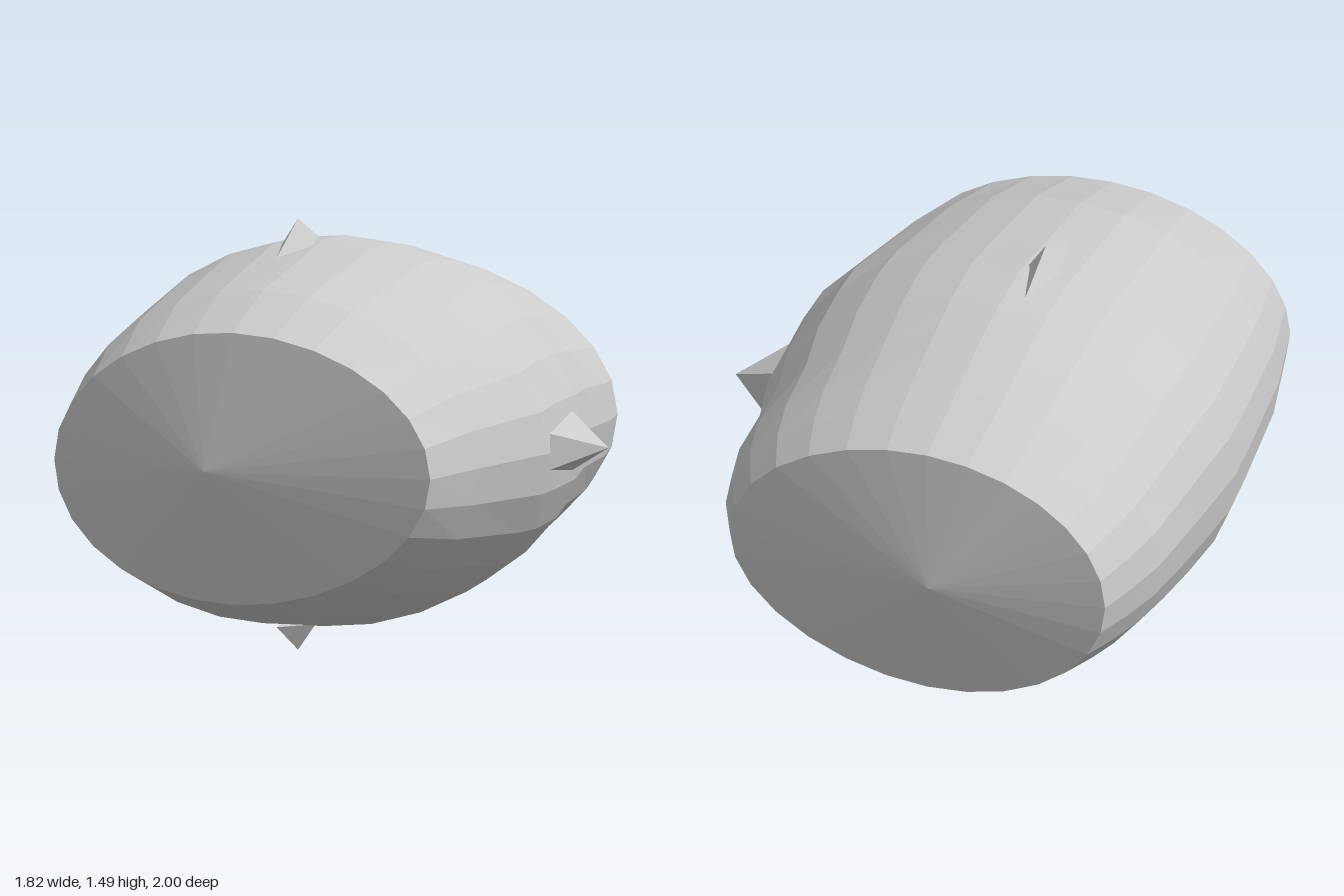
import * as THREE from 'three';

const SIDES = 28;
const MID_Y = 0.745;

// Barrel cross-sections: z, left edge x, right edge x, half height
const RINGS = [
  [0.9, -0.78, 0.59, 0.47],
  [0.6, -0.85, 0.655, 0.575],
  [0.2, -0.895, 0.76, 0.637],
  [0.02, -0.91, 0.745, 0.667],
  [-0.2, -0.895, 0.735, 0.653],
  [-0.4, -0.88, 0.69, 0.613],
  [-0.6, -0.86, 0.69, 0.56],
  [-0.75, -0.825, 0.66, 0.52],
  [-0.9, -0.78, 0.59, 0.475],
];

// One ring: an oval centred on x = -0.13 that bulges out a little on the +x side
function ringPoints([z, left, right, halfHeight]) {
  const cx = -0.13;
  const rl = cx - left;
  const bulge = right - cx - rl;
  const points = [];
  for (let j = 0; j < SIDES; j++) {
    const a = (j / SIDES) * Math.PI * 2;
    const u = Math.cos(a);
    const x = cx + rl * u + (u > 0 ? bulge * u * u : 0);
    points.push([x, MID_Y + halfHeight * Math.sin(a), z]);
  }
  return points;
}

function makeMesh(name, points, index, material) {
  const geometry = new THREE.BufferGeometry();
  geometry.setAttribute('position', new THREE.Float32BufferAttribute(points.flat(), 3));
  geometry.setIndex(index);
  geometry.computeVertexNormals();
  const mesh = new THREE.Mesh(geometry, material);
  mesh.name = name;
  return mesh;
}

// Fan of triangles from an apex to a closed loop of points
function makeFan(name, apex, loop, material, reverse = false) {
  const index = [];
  for (let j = 0; j < loop.length; j++) {
    const a = j + 1;
    const b = ((j + 1) % loop.length) + 1;
    index.push(0, reverse ? b : a, reverse ? a : b);
  }
  return makeMesh(name, [apex, ...loop], index, material);
}

export function createModel() {
  const group = new THREE.Group();
  group.name = 'spikedBarrel';
  const material = new THREE.MeshStandardMaterial({ color: 0xcccccc, flatShading: true });
  const spikeMaterial = material.clone();
  spikeMaterial.side = THREE.DoubleSide;

  // Barrel wall
  const rings = RINGS.map(ringPoints);
  const index = [];
  for (let i = 0; i < rings.length - 1; i++) {
    for (let j = 0; j < SIDES; j++) {
      const k = (j + 1) % SIDES;
      const a = i * SIDES + j;
      const b = i * SIDES + k;
      const c = a + SIDES;
      const d = b + SIDES;
      index.push(a, c, b, b, c, d);
    }
  }
  group.add(makeMesh('barrelWall', rings.flat(), index, material));

  // Shallow pointed ends
  group.add(makeFan('frontCap', [-0.2, MID_Y, 1], rings[0], material));
  group.add(makeFan('backCap', [-0.17, MID_Y, -1], rings[rings.length - 1], material, true));

  // Narrow diamond spikes above and below
  for (const [name, s] of [['topSpike', 1], ['bottomSpike', -1]]) {
    const at = (x, h, z) => [x, MID_Y + s * h, z];
    const loop = [at(-0.2, 0.638, 0.28), at(-0.14, 0.655, 0.06), at(-0.2, 0.655, -0.13), at(-0.26, 0.655, 0.06)];
    group.add(makeFan(name, at(-0.2, 0.745, 0.07), loop, spikeMaterial, s < 0));
  }

  // Broad four-sided spike on the left flank
  const flank = [
    [0.755, 0.81, 0.17],
    [0.755, 0.685, 0.17],
    [0.735, 0.645, -0.1],
    [0.735, 0.85, -0.1],
  ];
  group.add(makeFan('sideSpike', [0.905, MID_Y, 0], flank, spikeMaterial));

  return group;
}
